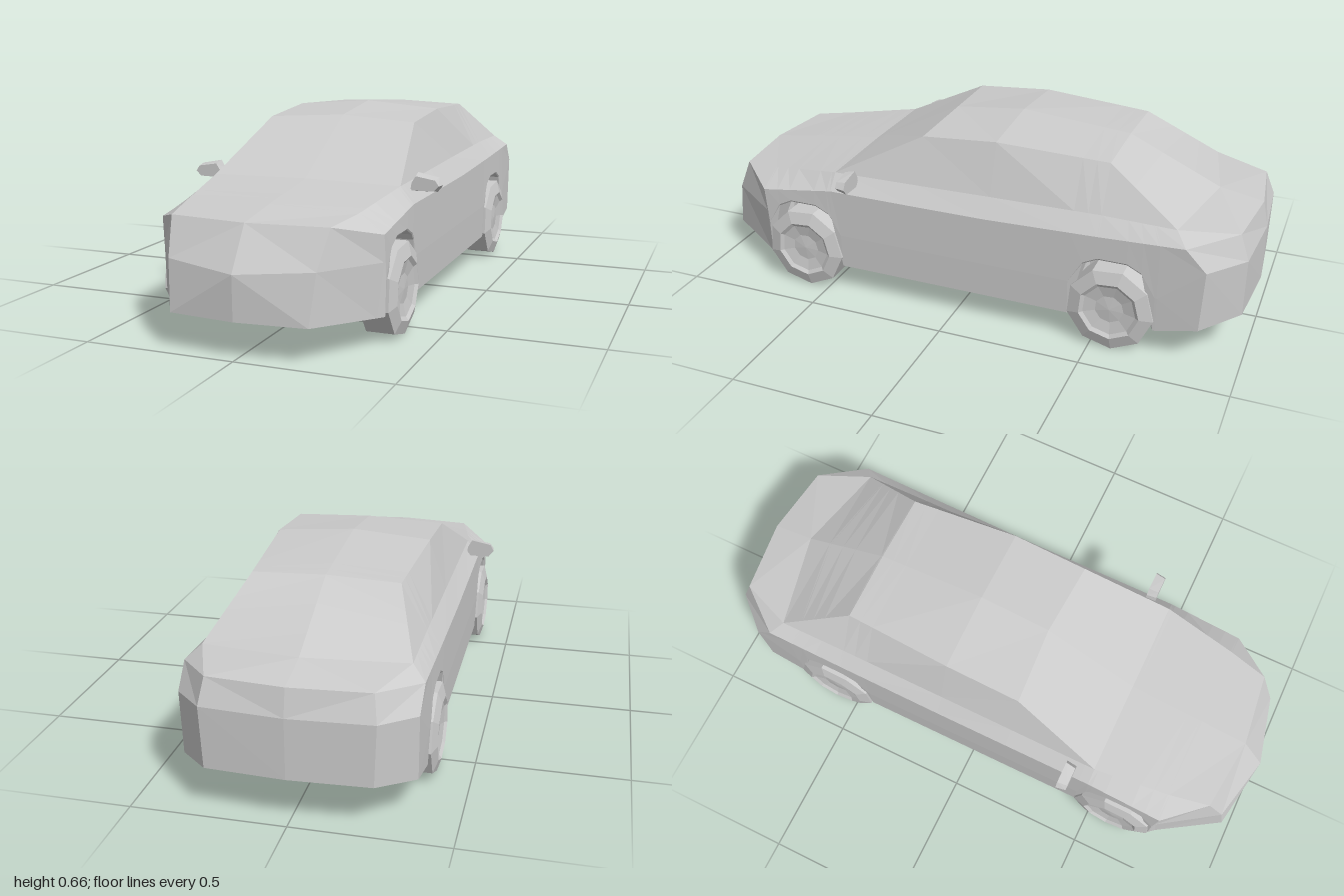
import * as THREE from 'three';

const material = new THREE.MeshStandardMaterial({ color: 0xcccccc, flatShading: true, side: THREE.DoubleSide });
const AXLES = [0.585, -0.565];
const ARCH = [[-0.148, 0.235], [-0.1, 0.3], [-0.05, 0.325], [0.05, 0.325], [0.1, 0.3], [0.148, 0.235]];
const INNER = 0.28; // inner wall of the wheel wells

// Key stations along the flank: t, shoulder crease, belt, roof edge, centre line
const KEYS = [
  [0.74, [0.375, 0.355, 0.745], [0.29, 0.41, 0.74], [0.29, 0.41, 0.74], [0, 0.42, 0.74]],
  [0.47, [0.375, 0.395, 0.47], [0.33, 0.45, 0.47], [0.33, 0.45, 0.47], [0, 0.455, 0.47]],
  [0.15, [0.375, 0.395, 0.15], [0.33, 0.455, 0.15], [0.27, 0.615, 0.15], [0, 0.63, 0.135]],
  [-0.12, [0.375, 0.396, -0.12], [0.33, 0.46, -0.12], [0.27, 0.636, -0.12], [0, 0.657, -0.12]],
  [-0.51, [0.375, 0.408, -0.51], [0.33, 0.465, -0.51], [0.245, 0.615, -0.51], [0, 0.624, -0.51]],
  [-0.8, [0.375, 0.42, -0.8], [0.33, 0.46, -0.76], [0.33, 0.46, -0.76], [0, 0.477, -0.83]],
];

const lerp = THREE.MathUtils.lerp;
const floorY = (t) => 0.1 + Math.max(0, -0.72 - t) * 0.21;

function railsAt(t) {
  let i = 0;
  while (i < KEYS.length - 2 && t < KEYS[i + 1][0]) i++;
  const [a, b] = [KEYS[i], KEYS[i + 1]];
  const f = (t - a[0]) / (b[0] - a[0]);
  return [1, 2, 3, 4].map((r) => a[r].map((v, k) => lerp(v, b[r][k], f)));
}

function archY(t) {
  for (const axle of AXLES) {
    for (let i = 0; i < ARCH.length - 1; i++) {
      const f = (t - axle - ARCH[i][0]) / (ARCH[i + 1][0] - ARCH[i][0]);
      if (f >= 0 && f <= 1) return lerp(ARCH[i][1], ARCH[i + 1][1], f);
    }
  }
  return null;
}

// A column runs from the centre line of the roof, down the flank, to the centre of the floor
function column(centre, edge, belt, crease, mid, sill) {
  return [centre, edge, belt, crease, mid, sill, sill, sill, [0, sill[1], sill[2]]];
}

function flankColumn(t, sillY, inWell) {
  const [crease, belt, edge, centre] = railsAt(t);
  const y = floorY(t);
  const mid = [0.377, Math.max(0.225, sillY + 0.005), t];
  const col = column(centre, edge, belt, crease, mid, [0.374, sillY, t]);
  if (inWell) {
    col[6] = [INNER, sillY, t];
    col[7] = [INNER, y, t];
  }
  col[8] = [0, y, t];
  return col;
}

function bodyColumns() {
  const nose = [0, 0.395, 0.91], hood = [0.26, 0.395, 0.88];
  const tail = [0, 0.45, -0.98], trunk = [0.255, 0.445, -0.95];
  const [fCrease, fBelt, fEdge, fCentre] = railsAt(0.74);
  const [rCrease, rBelt, rEdge, rCentre] = railsAt(-0.8);

  const cols = [
    column(nose, nose, nose, nose, [0, 0.26, 0.997], [0, 0.118, 0.995]),
    column(nose, hood, hood, hood, [0.24, 0.275, 0.94], [0.225, 0.115, 0.965]),
    column(fCentre, fEdge, fBelt, fCrease, [0.373, 0.27, 0.742], [0.355, 0.1, 0.755]),
  ];
  // Flank stations, with doubled columns where the wheel arches start and end
  const flank = KEYS.slice(1, -1).map(([t]) => ({ t, order: 0 })).concat({ t: -0.72, order: 0 });
  for (const axle of AXLES) {
    for (const [dz] of ARCH) flank.push({ t: axle + dz, order: 0 });
    for (const s of [1, -1]) {
      flank.push({ t: axle + s * 0.148, order: -2 * s, plain: true });
      flank.push({ t: axle + s * 0.148, order: -s, low: true });
    }
  }
  flank.sort((a, b) => (Math.abs(a.t - b.t) > 1e-6 ? b.t - a.t : a.order - b.order));
  for (const { t, plain, low } of flank) {
    const arch = archY(t);
    const open = !plain && (low || arch !== null);
    cols.push(flankColumn(t, open && !low ? arch : floorY(t), open));
  }
  cols.push(
    column(rCentre, rEdge, rBelt, rCrease, [0.372, 0.345, -0.87], [0.37, 0.13, -0.86]),
    column(tail, trunk, trunk, trunk, [0.268, 0.36, -0.982], [0.26, 0.156, -0.98]),
    column(tail, tail, tail, tail, [0, 0.36, -1], [0, 0.16, -1]),
  );
  return cols;
}

// Skin the columns on both sides, skipping collapsed triangles
function bodyGeometry() {
  const cols = bodyColumns();
  const out = [];
  const tri = new THREE.Triangle();
  const add = (pts, s) => {
    const v = pts.map(([x, y, z]) => new THREE.Vector3(x * s, y, z));
    if (s < 0) v.reverse();
    tri.set(...v);
    if (tri.getArea() > 1e-7) v.forEach((p) => out.push(p.x, p.y, p.z));
  };
  for (const s of [1, -1]) {
    for (let i = 0; i < cols.length - 1; i++) {
      for (let j = 0; j < cols[i].length - 1; j++) {
        const a = cols[i][j], b = cols[i][j + 1], c = cols[i + 1][j + 1], d = cols[i + 1][j];
        add([a, b, c], s);
        add([a, c, d], s);
      }
    }
  }
  const g = new THREE.BufferGeometry();
  g.setAttribute('position', new THREE.Float32BufferAttribute(out, 3));
  g.computeVertexNormals();
  return g;
}

// Nine-sided wheel turned about its axle, with a dished hub
function wheelGeometry() {
  const profile = [[0, 0.29], [0.15, 0.29], [0.15, 0.383], [0.105, 0.397], [0.092, 0.388], [0.05, 0.38], [0, 0.384]];
  const g = new THREE.LatheGeometry(profile.map(([r, h]) => new THREE.Vector2(r, h)), 9);
  g.rotateY(Math.PI / 2 + 0.08);
  g.rotateZ(-Math.PI / 2);
  return g;
}

// Door mirror: six-sided housing with a narrower front
function mirrorGeometry() {
  const outline = [[0.338, 0.42], [0.425, 0.422], [0.444, 0.445], [0.43, 0.469], [0.358, 0.483], [0.343, 0.455]];
  const shape = new THREE.Shape(outline.map(([x, y]) => new THREE.Vector2(x, y)));
  const g = new THREE.ExtrudeGeometry(shape, { depth: 0.036, bevelEnabled: false });
  const p = g.attributes.position;
  for (let i = 0; i < p.count; i++) {
    if (p.getZ(i) > 0.01) p.setXY(i, lerp(0.39, p.getX(i), 0.9), lerp(0.45, p.getY(i), 0.75));
  }
  g.translate(0, 0, 0.375);
  return g;
}

export function createModel() {
  const car = new THREE.Group();
  car.name = 'car';
  const add = (geometry, name) => {
    const mesh = new THREE.Mesh(geometry, material);
    mesh.name = name;
    car.add(mesh);
    return mesh;
  };
  add(bodyGeometry(), 'body');

  const wheel = wheelGeometry(), mirror = mirrorGeometry();
  for (const [side, s] of [['left', 1], ['right', -1]]) {
    AXLES.forEach((z, i) => {
      const w = add(wheel, side + (i ? 'RearWheel' : 'FrontWheel'));
      w.position.set(0, 0.15, z);
      w.scale.x = s;
    });
    add(mirror, side + 'Mirror').scale.x = s;
  }
  return car;
}
